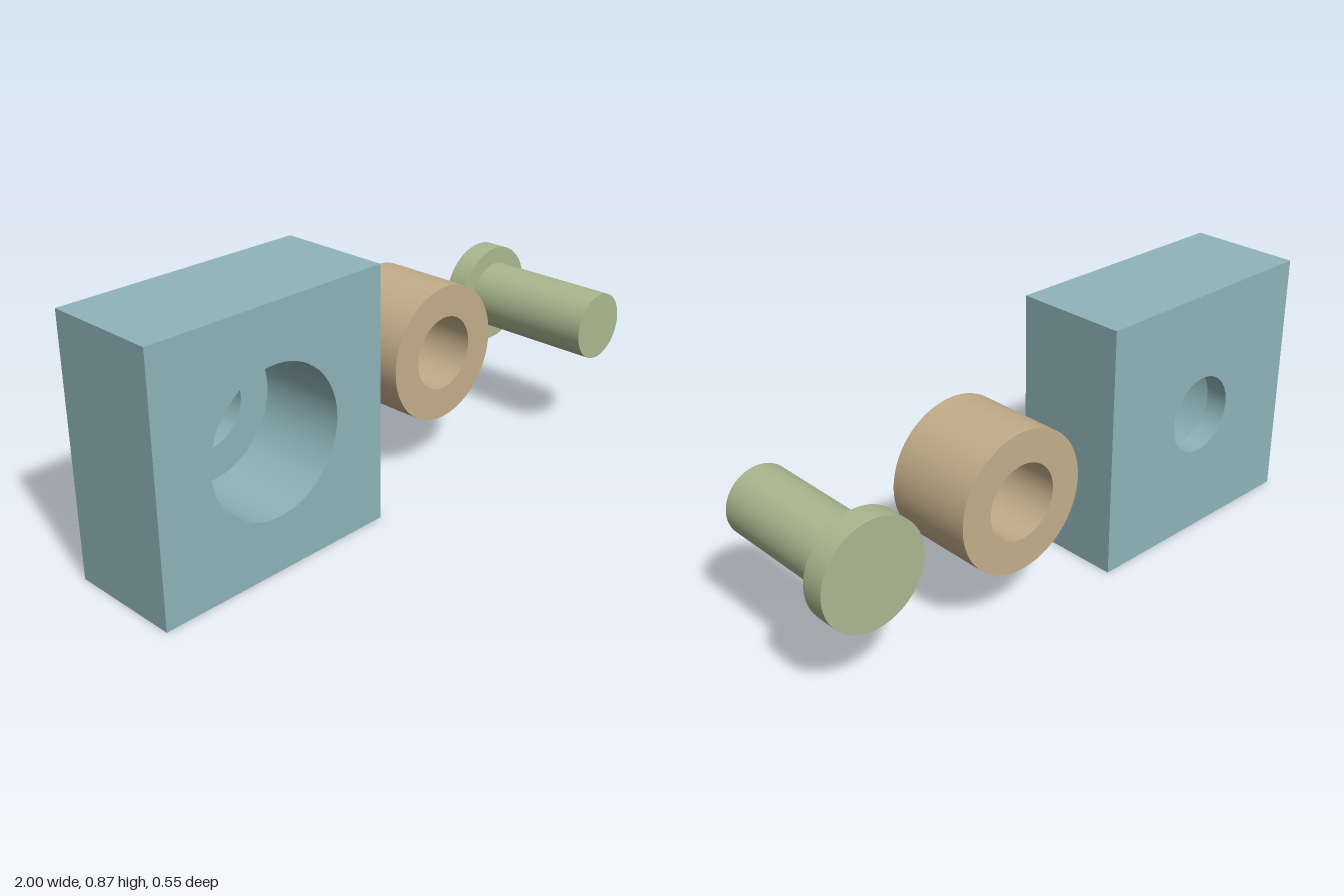
import * as THREE from 'three';
import { mergeGeometries } from 'three/addons/utils/BufferGeometryUtils.js';

const SEG = 96;
const CENTRE_Y = 0.437;
const BACK = -0.277;

// Revolves a profile of [radius, z] about the z axis, one band per segment so
// that edges stay sharp while the round faces stay smooth.
function turned(profile) {
  const bands = [];
  for (let i = 0; i < profile.length - 1; i++) {
    const pts = [profile[i], profile[i + 1]].map(([r, z]) => new THREE.Vector2(r, z));
    bands.push(new THREE.LatheGeometry(pts, SEG));
  }
  return mergeGeometries(bands).rotateX(Math.PI / 2);
}

// Square face with a round hole, facing +z
function holedFace(size, radius) {
  const h = size / 2;
  const shape = new THREE.Shape();
  shape.moveTo(-h, -h).lineTo(h, -h).lineTo(h, h).lineTo(-h, h).closePath();
  const hole = new THREE.Path();
  hole.absarc(0, 0, radius, 0, Math.PI * 2, true);
  shape.holes.push(hole);
  return new THREE.ShapeGeometry(shape, SEG);
}

function part(name, geometry, material, x) {
  const mesh = new THREE.Mesh(geometry, material);
  mesh.name = name;
  mesh.position.set(x, CENTRE_Y, 0);
  return mesh;
}

export function createModel() {
  const blockBlue = new THREE.MeshStandardMaterial({ color: 0x8fb4ba });
  blockBlue.name = 'block blue';
  const bushingTan = new THREE.MeshStandardMaterial({ color: 0xc4ae8a });
  bushingTan.name = 'bushing tan';
  const pinGreen = new THREE.MeshStandardMaterial({ color: 0xaab890 });
  pinGreen.name = 'pin green';

  const model = new THREE.Group();
  model.name = 'blockBushingAndPin';

  // Housing block: counterbored from the front, smaller hole through the back
  const size = 0.873, front = 0.118, floor = -0.198;
  const boreR = 0.247, holeR = 0.136;
  const faces = [
    holedFace(size, boreR).translate(0, 0, front),
    holedFace(size, holeR).rotateY(Math.PI).translate(0, 0, BACK),
    turned([[boreR, front], [boreR, floor], [holeR, floor], [holeR, BACK]]),
  ];
  for (let i = 0; i < 4; i++) {
    faces.push(new THREE.PlaneGeometry(size, front - BACK)
      .rotateX(-Math.PI / 2)
      .translate(0, size / 2, (front + BACK) / 2)
      .rotateZ(i * Math.PI / 2));
  }
  model.add(part('housingBlock', mergeGeometries(faces), blockBlue, -0.5635));

  // Bushing: plain thick sleeve
  const outer = 0.237, inner = 0.128, bushFront = 0.039;
  model.add(part('bushing', turned([
    [inner, BACK], [outer, BACK], [outer, bushFront], [inner, bushFront], [inner, BACK],
  ]), bushingTan, 0.265));

  // Pin: flat round head at the back, shank towards the front
  const headR = 0.178, shankR = 0.118, headFront = -0.198;
  model.add(part('headedPin', turned([
    [0, BACK], [headR, BACK], [headR, headFront], [shankR, headFront],
    [shankR, 0.277], [0, 0.277],
  ]), pinGreen, 0.822));

  return model;
}
